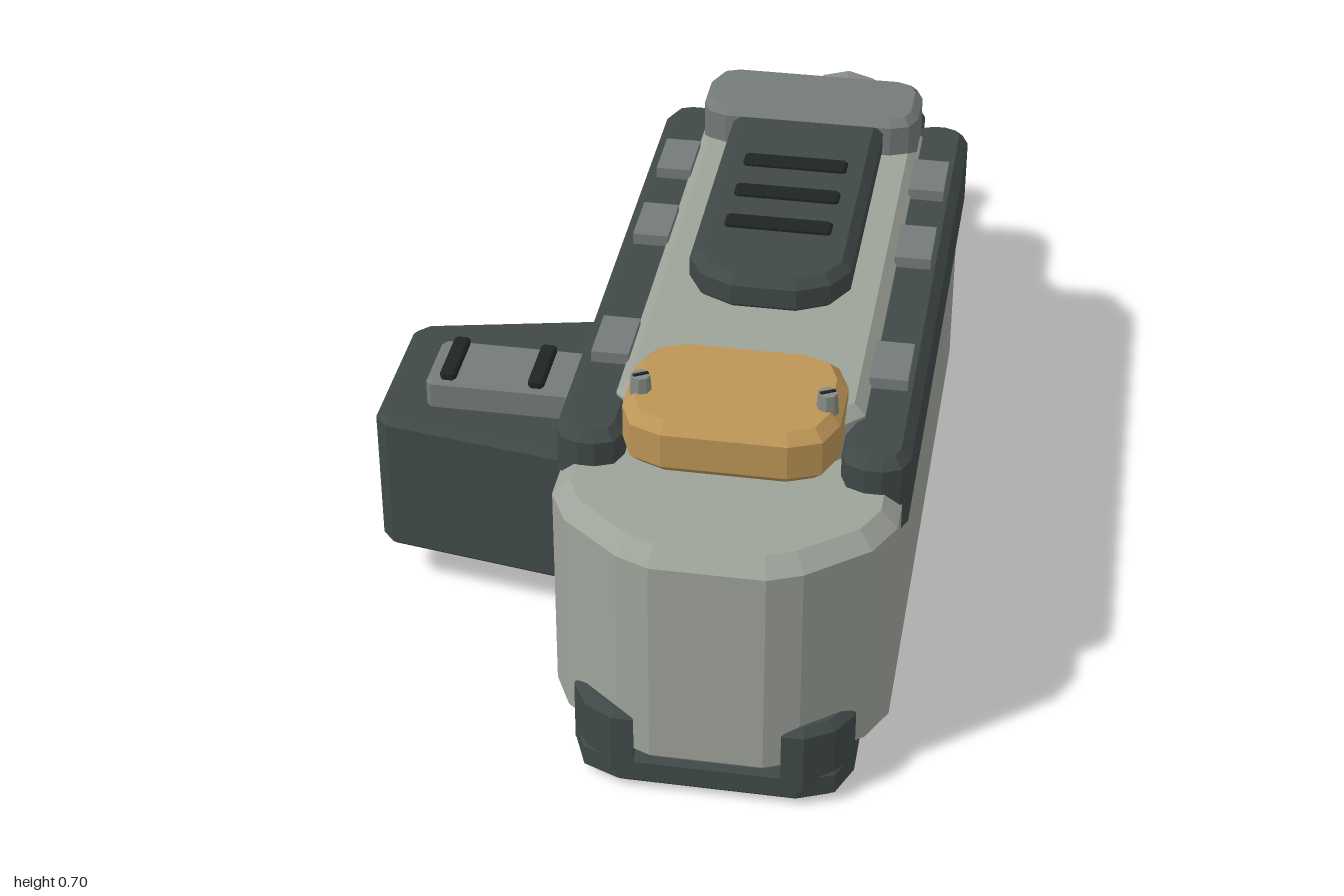
import * as THREE from 'three';

const mat = (name, color) => {
  const m = new THREE.MeshStandardMaterial({ color });
  m.name = name;
  return m;
};

export function createModel() {
  const model = new THREE.Group();
  const shell = mat('shellGrey', 0x9ea39a);
  const dark = mat('darkGrey', 0x404848);
  const mid = mat('midGrey', 0x757b7a);
  const steel = mat('steelGrey', 0x868b83);
  const amber = mat('amber', 0xbd9556);
  const black = mat('black', 0x202424);

  const add = (name, geometry, material) => {
    const mesh = new THREE.Mesh(geometry, material);
    mesh.name = name;
    model.add(mesh);
    return mesh;
  };

  // Plan outline [x, z] raised from y0 to y1 with chamfered top and bottom edges
  const slab = (name, pts, y0, y1, bevel, material) => {
    const shape = new THREE.Shape(pts.map(([x, z]) => new THREE.Vector2(x, -z)));
    const g = new THREE.ExtrudeGeometry(shape, {
      depth: y1 - y0 - 2 * bevel, bevelEnabled: bevel > 0, bevelSize: bevel,
      bevelThickness: bevel, bevelOffset: -bevel, bevelSegments: 1,
    });
    g.rotateX(-Math.PI / 2).translate(0, y0 + bevel, 0);
    return add(name, g, material);
  };

  // Rectangle in plan with faceted corners
  const rect = (x0, x1, z0, z1, c, n = 1) => {
    const pts = [];
    const corners = [[x1 - c, z1 - c], [x0 + c, z1 - c], [x0 + c, z0 + c], [x1 - c, z0 + c]];
    corners.forEach(([x, z], k) => {
      for (let i = 0; i <= n; i++) {
        const a = (k + i / n) * Math.PI / 2;
        pts.push([x + c * Math.cos(a), z + c * Math.sin(a)]);
      }
    });
    return pts;
  };
  const cx = 0.2; // centre line of the main body
  const mirror = (pts) => pts.map(([x, z]) => [2 * cx - x, z]).reverse();

  // Main body with faceted nose and tail
  const half = [[0.5, -0.36], [0.5, 0.82], [0.465, 0.89], [0.36, 0.975], [0.3, 1.0]];
  const tail = [[0.3, -0.585], [0.355, -0.56], [0.475, -0.42]];
  const right = [...tail, ...half];
  slab('body', [...right, ...mirror(right)], 0.06, 0.53, 0.03, shell);
  slab('topDeck', rect(-0.02, 0.42, -0.42, 0.7, 0.06), 0.5, 0.62, 0.02, shell);

  // Front bumper: sole plate and two corner posts
  slab('bumperSole', rect(-0.05, 0.45, 0.7, 0.99, 0.09, 2), 0, 0.08, 0.02, dark);
  const post = [[0.33, 0.88], [0.45, 0.88], [0.45, 0.91], [0.42, 0.96], [0.37, 0.99], [0.33, 0.99]];
  slab('bumperPostLeft', post, 0.02, 0.17, 0.015, dark);
  slab('bumperPostRight', mirror(post), 0.02, 0.17, 0.015, dark);

  // Side rails with small tabs
  for (const s of [-1, 1]) {
    const x = cx + s * 0.25;
    const side = s > 0 ? 'Left' : 'Right';
    const rail = rect(x - 0.06, x + 0.06, -0.435, 0.77, 0.045, 2);
    slab('rail' + side, rail, 0.43, 0.595, 0.018, dark);
    for (const z of [-0.18, 0.075, 0.485]) {
      const tab = new THREE.BoxGeometry(0.068, 0.04, 0.12);
      tab.translate(x, 0.597, z);
      add('railTab' + side, tab, mid);
    }
  }

  // Raised dark panel with three slots
  slab('topPanel', [[0.35, -0.25], [0.35, 0.28], [0.32, 0.335], [0.26, 0.365], [0.14, 0.365],
    [0.08, 0.335], [0.05, 0.28], [0.05, -0.25]], 0.61, 0.685, 0.018, dark);
  for (const z of [-0.06, 0.057, 0.172]) {
    slab('ventSlot', rect(0.1, 0.3, z - 0.02, z + 0.02, 0.006), 0.67, 0.694, 0.004, black);
  }
  slab('rearCap', rect(-0.015, 0.415, -0.425, -0.24, 0.05, 2), 0.59, 0.695, 0.015, mid);

  // Amber front cover with two screws
  slab('amberCover', rect(0.01, 0.388, 0.545, 0.82, 0.08, 2), 0.56, 0.665, 0.02, amber);
  for (const s of [-1, 1]) {
    const x = cx + s * 0.162;
    const screw = new THREE.CylinderGeometry(0.017, 0.02, 0.04, 8).toNonIndexed();
    screw.computeVertexNormals();
    screw.translate(x, 0.674, 0.715);
    add('screw', screw, steel);
    const notch = new THREE.BoxGeometry(0.028, 0.003, 0.006);
    notch.rotateY(0.5).translate(x, 0.695, 0.715);
    add('screwNotch', notch, black);
  }

  // Rear housing
  slab('rearHousing', rect(0, 0.395, -0.795, -0.45, 0.06, 2), 0.14, 0.46, 0.02, dark);

  // Hollow nozzle, turned around the z axis
  const turned = (name, profile, material) => {
    const pts = profile.map(([r, d]) => new THREE.Vector2(r, d));
    const g = new THREE.LatheGeometry(pts, 12).toNonIndexed();
    g.computeVertexNormals();
    g.rotateX(-Math.PI / 2).translate(cx, 0.29, 0);
    add(name, g, material);
  };
  turned('nozzleTube', [[0.1, 0.77], [0.1, 0.96]], mid);
  turned('nozzleLip', [[0.1, 0.945], [0.113, 0.96], [0.113, 0.988], [0.1, 1], [0.07, 1], [0.066, 0.985]], steel);
  turned('nozzleBore', [[0.066, 0.985], [0.066, 0.88], [0, 0.88]], black);

  // Tapered side box with top block and clips
  slab('sideBox', [[-0.05, 0.057], [-0.05, 0.563], [-0.49, 0.492], [-0.515, 0.465],
    [-0.515, 0.178], [-0.49, 0.152]].reverse(), 0.09, 0.38, 0.01, dark);
  slab('sideBlock', rect(-0.427, -0.05, 0.285, 0.43, 0.01), 0.37, 0.44, 0.01, mid);
  for (const x of [-0.385, -0.217]) {
    slab('sideClip', rect(x - 0.015, x + 0.015, 0.293, 0.422, 0.005), 0.43, 0.454, 0.004, black);
  }

  return model;
}
